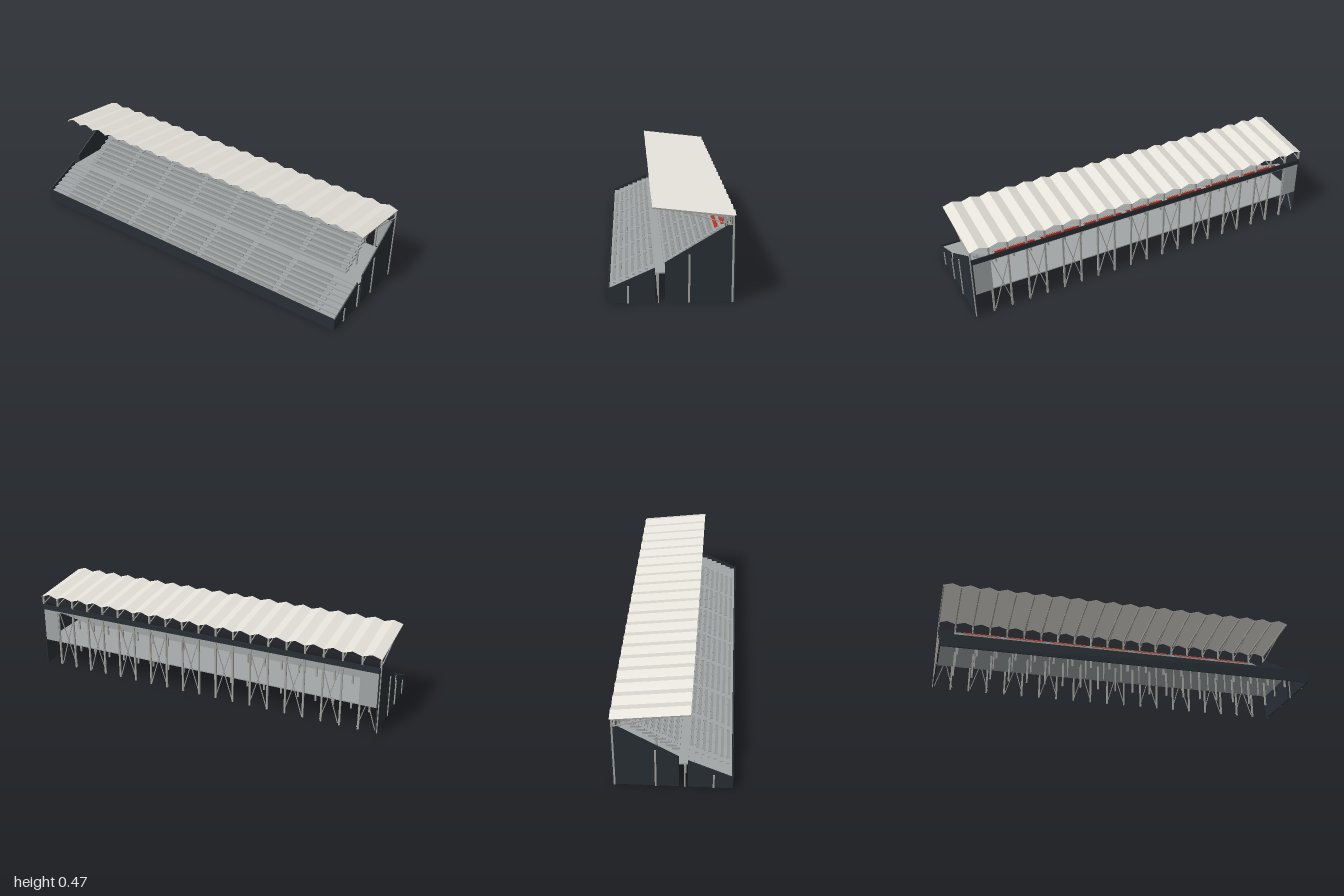
import * as THREE from 'three';
import { mergeGeometries } from 'three/addons/utils/BufferGeometryUtils.js';

const mat = (name, color, double) => {
  const m = new THREE.MeshStandardMaterial({ color });
  m.name = name;
  if (double) m.side = THREE.DoubleSide;
  return m;
};

// Box given by its centre and size
const box = (x, y, z, w, h, d) => new THREE.BoxGeometry(w, h, d).translate(x, y, z);

// Square bar running between two points
function bar(a, b, t) {
  const p = new THREE.Vector3(...a), q = new THREE.Vector3(...b);
  const o = new THREE.Object3D();
  o.position.copy(p).lerp(q, 0.5);
  o.lookAt(q);
  o.updateMatrix();
  return new THREE.BoxGeometry(t, t, p.distanceTo(q)).applyMatrix4(o.matrix);
}

// Side profile of [z, y] points extruded along x
function extrudeX(points, x0, width) {
  const shape = new THREE.Shape(points.map(([z, y]) => new THREE.Vector2(-z, y)));
  return new THREE.ExtrudeGeometry(shape, { depth: width, bevelEnabled: false })
    .rotateY(Math.PI / 2).translate(x0, 0, 0);
}

export function createModel() {
  const concrete = mat('concrete grey', 0xa0a5a5);
  const seatGrey = mat('seat grey', 0x929695);
  const red = mat('seat red', 0xc4301f);
  const dark = mat('dark cladding', 0x272e34);
  const steel = mat('steel grey', 0xa2a29e);
  const roofing = mat('pale roofing', 0xe4e1d9, true);

  const group = new THREE.Group();
  const add = (name, geos, material) => {
    const mesh = new THREE.Mesh(Array.isArray(geos) ? mergeGeometries(geos) : geos, material);
    mesh.name = name;
    group.add(mesh);
  };

  // Open plank terraces, with aisle half steps and benches in seven blocks
  const tiers = [
    { name: 'lower', z: 0.285, y: 0.0585, rows: 7, run: 0.03, rise: 0.0135, width: 1.98, thick: 0.009 },
    { name: 'upper', z: 0.03, y: 0.1635, rows: 10, run: 0.0285, rise: 0.0185, width: 1.8, thick: 0.012 },
  ];
  const redSeats = [];
  for (const t of tiers) {
    const treads = [], aisles = [], seats = [];
    for (let r = 0; r < t.rows; r++) {
      const z = t.z - r * t.run, y = t.y + r * t.rise;
      // Each plank runs a little way under the next one
      const depth = t.run + (r < t.rows - 1 ? 0.01 : 0);
      treads.push(box(0, y - t.thick / 2, z - depth / 2, t.width, t.thick, depth));
      if (r < t.rows - 1) {
        for (let a = 0; a < 8; a++) {
          aisles.push(box(-0.875 + a * 0.25, y + t.rise / 4, z - t.run * 0.75,
            0.032, t.rise / 2, t.run / 2));
        }
      }
      // The two highest rows are red
      const list = t.name === 'upper' && r >= t.rows - 2 ? redSeats : seats;
      for (let b = 0; b < 7; b++) {
        const x = -0.75 + b * 0.25, zs = z - t.run * 0.6;
        list.push(box(x, y + 0.005, zs, 0.214, 0.003, 0.012));
        list.push(box(x, y + 0.009, zs - 0.007, 0.214, 0.011, 0.002));
      }
    }
    add(t.name + 'Terrace', treads, concrete);
    add(t.name + 'AisleSteps', aisles, concrete);
    add(t.name + 'Seats', seats, seatGrey);
  }
  add('topRowSeats', redSeats, red);

  // Concourse floor under the upper tier, and rear infill of the two end bays
  add('concourseFloor', box(0, 0.142, -0.1025, 1.98, 0.006, 0.355), concrete);
  add('endBayInfill', [-0.945, 0.945].map(x => box(x, 0.24, -0.2895, 0.09, 0.19, 0.003)), concrete);

  // Dark cladding: front wall, rear parapet and both ends
  add('frontWall', box(0, 0.035, 0.29, 1.992, 0.07, 0.006), dark);
  add('rearParapet', box(0, 0.35, -0.2905, 1.992, 0.03, 0.005), dark);
  const frontEnd = [[0.293, 0], [0.293, 0.07], [0.075, 0.168], [0.075, 0]];
  const rearEnd = [[0.03, 0], [0.03, 0.192], [-0.255, 0.365], [-0.293, 0.365], [-0.293, 0]];
  for (const x0 of [-0.996, 0.99]) {
    const side = x0 < 0 ? 'right' : 'left';
    add(side + 'FrontEndPanel', extrudeX(frontEnd, x0, 0.006), dark);
    add(side + 'RearEndPanel', extrudeX(rearEnd, x0, 0.006), dark);
  }

  // Columns in four lines; the rear line carries the roof
  const columns = [], roofBeams = [], roofStruts = [];
  for (let i = 0; i <= 20; i++) {
    const x = THREE.MathUtils.clamp(-1 + i * 0.1, -0.9955, 0.9955);
    columns.push(box(x, 0.204, -0.2825, 0.009, 0.408, 0.009));
    columns.push(box(x, 0.115, -0.082, 0.009, 0.23, 0.009));
    columns.push(box(x, 0.07, 0.059, 0.006, 0.14, 0.006));
    columns.push(box(x, 0.041, 0.199, 0.009, 0.082, 0.009));
    roofBeams.push(bar([x, 0.451, 0.087], [x, 0.408, -0.286], 0.007));
    roofStruts.push(bar([x, 0.433, -0.045], [x, 0.368, -0.282], 0.004));
  }
  add('columns', columns, steel);
  add('roofBeams', roofBeams, steel);
  add('roofStruts', roofStruts, steel);

  // Cross bracing in every other rear bay, and a long rail
  const braces = [];
  for (let i = 0; i < 20; i += 2) {
    const a = -0.99 + i * 0.099, b = a + 0.099;
    braces.push(bar([a, 0.01, -0.284], [b, 0.33, -0.284], 0.004));
    braces.push(bar([b, 0.01, -0.281], [a, 0.33, -0.281], 0.004));
  }
  add('crossBraces', braces, steel);
  add('rearRail', box(0, 0.33, -0.2825, 1.98, 0.008, 0.006), steel);

  // Folded roof sheet, rising towards the front
  let roof = new THREE.PlaneGeometry(2, 0.381, 40, 1).rotateX(-Math.PI / 2);
  const p = roof.attributes.position;
  for (let i = 0; i < p.count; i++) {
    const z = p.getZ(i) - 0.1025;
    const fold = Math.round((p.getX(i) + 1) / 0.05) % 2;
    p.setXYZ(i, p.getX(i), 0.412 + (z + 0.293) * 0.113 + fold * 0.016, z);
  }
  roof = roof.toNonIndexed();
  roof.computeVertexNormals();
  add('roof', roof, roofing);

  return group;
}
